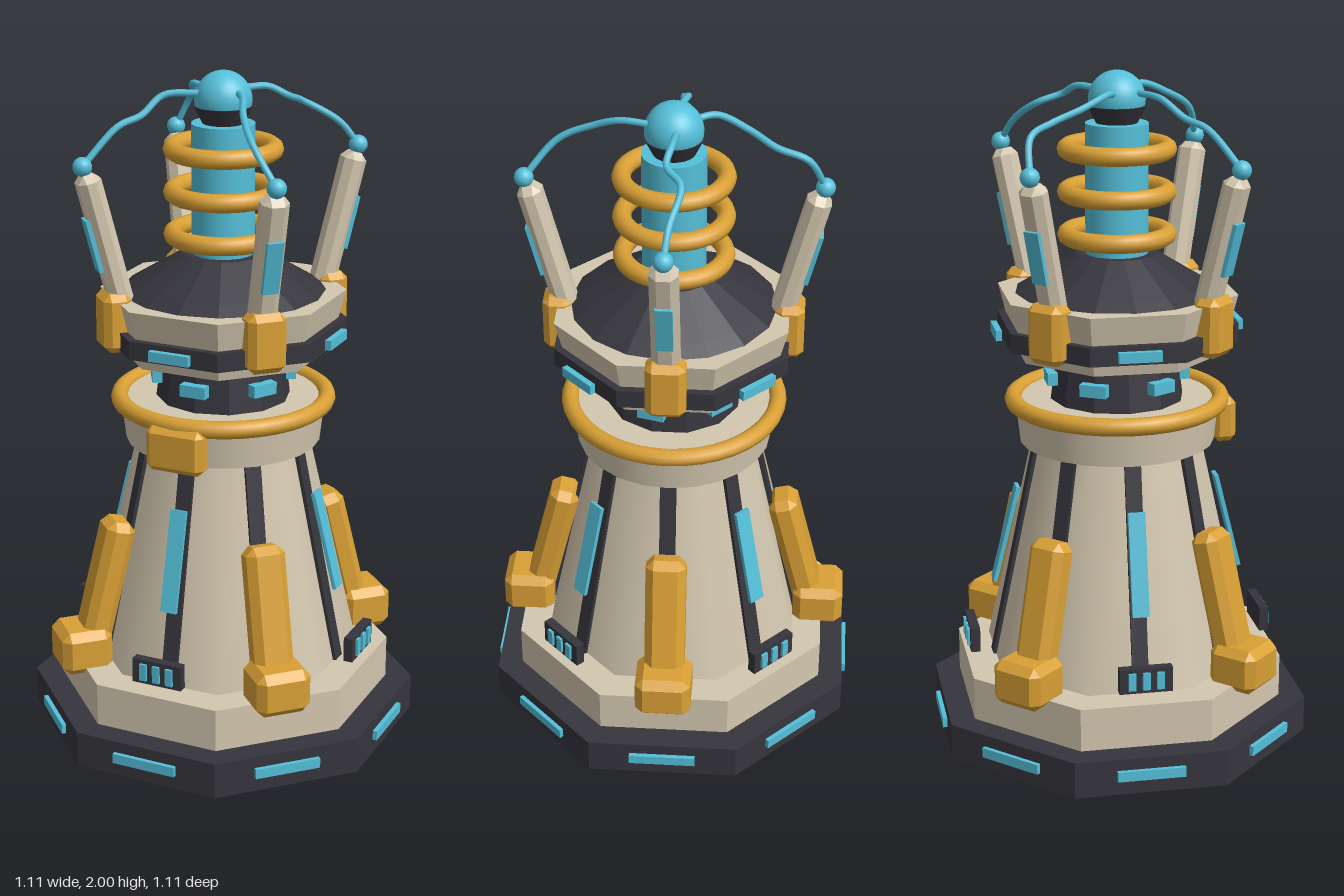
import * as THREE from 'three';
import { ConvexGeometry } from 'three/addons/geometries/ConvexGeometry.js';

const mat = (name, color) => {
  const m = new THREE.MeshStandardMaterial({ color });
  m.name = name;
  return m;
};

export function createModel() {
  const cream = mat('cream', 0xd3c7af);
  const dark = mat('charcoal', 0x36353d);
  const gold = mat('gold', 0xd9a035);
  const blue = mat('blue', 0x54bfd9);
  const root = new THREE.Group();
  root.name = 'coilTower';

  const add = (parent, name, geo, material, x = 0, y = 0, z = 0) => {
    const m = new THREE.Mesh(geo, material);
    m.name = name;
    m.position.set(x, y, z);
    parent.add(m);
    return m;
  };
  const flat = (geo) => {
    const g = geo.toNonIndexed();
    g.computeVertexNormals();
    return g;
  };
  // Eight-sided tier with flats facing the axes; radii are measured to the flats
  const octagon = (rTop, rBottom, y0, y1) => {
    const k = 1 / Math.cos(Math.PI / 8);
    return new THREE.CylinderGeometry(rTop * k, rBottom * k, y1 - y0, 8)
      .rotateY(Math.PI / 8).translate(0, (y0 + y1) / 2, 0);
  };
  const round = (rTop, rBottom, y0, y1, sides = 24) =>
    new THREE.CylinderGeometry(rTop, rBottom, y1 - y0, sides).translate(0, (y0 + y1) / 2, 0);
  const ring = (radius, tube) => new THREE.TorusGeometry(radius, tube, 10, 40).rotateX(Math.PI / 2);
  const box = (w, h, d) => new THREE.BoxGeometry(w, h, d);
  // Box with every edge and corner cut by c
  const chamferBox = (w, h, d, c) => {
    const pts = [];
    for (const sx of [-1, 1]) for (const sy of [-1, 1]) for (const sz of [-1, 1]) {
      const x = w / 2, y = h / 2, z = d / 2;
      pts.push(new THREE.Vector3(sx * x, sy * (y - c), sz * (z - c)),
        new THREE.Vector3(sx * (x - c), sy * y, sz * (z - c)),
        new THREE.Vector3(sx * (x - c), sy * (y - c), sz * z));
    }
    return new ConvexGeometry(pts);
  };
  // Group whose +z points outward at the given angle
  const spoke = (name, angle) => {
    const g = new THREE.Group();
    g.name = name;
    g.rotation.y = angle;
    root.add(g);
    return g;
  };
  // Group leaning along the line (r0,y0)-(r1,y1), centred on it
  const lean = (parent, name, r0, y0, r1, y1) => {
    const g = new THREE.Group();
    g.name = name;
    g.position.set(0, (y0 + y1) / 2, (r0 + r1) / 2);
    g.rotation.x = Math.atan2(r1 - r0, y1 - y0);
    parent.add(g);
    return { g, length: Math.hypot(r1 - r0, y1 - y0) };
  };

  // Base and body
  add(root, 'basePlinth', flat(octagon(0.54, 0.54, 0, 0.11)), dark);
  add(root, 'baseStep', flat(octagon(0.467, 0.467, 0.11, 0.24)), cream);
  add(root, 'taperedBody', octagon(0.235, 0.377, 0.24, 0.92), cream);
  add(root, 'collar', round(0.305, 0.29, 0.905, 1.035, 24), cream);
  add(root, 'collarRing', ring(0.308, 0.026), gold, 0, 1.03, 0);
  add(root, 'frontClasp', chamferBox(0.18, 0.135, 0.07, 0.018), gold, 0, 0.963, 0.312);
  add(root, 'neck', flat(round(0.18, 0.2, 1.03, 1.18, 12)), dark);

  // Head
  add(root, 'head', flat(octagon(0.333, 0.29, 1.18, 1.36)), cream);
  add(root, 'headBand', flat(octagon(0.335, 0.335, 1.22, 1.275)), dark);
  add(root, 'headCapLip', flat(round(0.26, 0.3, 1.36, 1.385, 16)), dark);
  add(root, 'headCap', flat(round(0.12, 0.26, 1.385, 1.47, 16)), dark);

  // Coil column
  add(root, 'column', round(0.092, 0.092, 1.46, 1.85), blue);
  for (const y of [1.525, 1.65, 1.775]) add(root, 'coilRing', ring(0.147, 0.027), gold, 0, y, 0);
  add(root, 'orbCup', round(0.085, 0.058, 1.845, 1.9), dark);
  add(root, 'orb', new THREE.SphereGeometry(0.083, 28, 20), blue, 0, 1.917, 0);

  // Details on all eight sides
  for (let i = 0; i < 8; i++) {
    const side = spoke('side', i * Math.PI / 4);
    add(side, 'baseLight', box(0.2, 0.03, 0.02), blue, 0, 0.06, 0.543);
    const { g, length } = lean(side, 'bodyRib', 0.377, 0.24, 0.24, 0.905);
    add(g, 'ribStrip', box(0.048, length, 0.02), dark);
  }

  // Small lights around the neck
  for (let i = 0; i < 6; i++) {
    const side = spoke('neckSide', i * Math.PI / 3);
    add(side, 'neckLight', box(0.08, 0.036, 0.03), blue, 0, 1.103, 0.198);
  }

  // Details on the four straight sides
  for (let i = 0; i < 4; i++) {
    const side = spoke('straightSide', i * Math.PI / 2);
    add(side, 'ventBox', box(0.156, 0.075, 0.028), dark, 0, 0.312, 0.446);
    for (const x of [-0.042, 0, 0.042]) add(side, 'ventLight', box(0.022, 0.052, 0.014), blue, x, 0.312, 0.461);
    const { g, length } = lean(side, 'bodyLight', 0.377, 0.475, 0.303, 0.77);
    add(g, 'bodyLightBar', box(0.05, length, 0.012), blue);
    add(side, 'headLight', box(0.124, 0.03, 0.018), blue, 0, 1.25, 0.358);
  }

  // Buttresses and pylons on the four diagonals
  for (let i = 0; i < 4; i++) {
    const side = spoke('diagonalSide', Math.PI / 4 + i * Math.PI / 2);
    add(side, 'buttressFoot', chamferBox(0.166, 0.135, 0.155, 0.024), gold, 0, 0.283, 0.455);
    const b = lean(side, 'buttress', 0.425, 0.29, 0.33, 0.675);
    add(b.g, 'buttressBar', chamferBox(0.12, b.length, 0.09, 0.024), gold);
    add(side, 'pylonBracket', chamferBox(0.115, 0.175, 0.085, 0.02), gold, 0, 1.298, 0.335);
    const p = lean(side, 'pylon', 0.305, 1.32, 0.41, 1.735);
    add(p.g, 'pylonShaft', chamferBox(0.08, p.length, 0.07, 0.021), cream);
    add(p.g, 'pylonLight', box(0.048, 0.16, 0.014), blue, 0, 0.008, 0.036);
    add(side, 'pylonTip', new THREE.SphereGeometry(0.028, 16, 12), blue, 0, 1.755, 0.42);
  }

  // Wires from the pylon tips to the orb
  const wires = [
    [[0.297, 1.755, -0.297], [0.25, 1.825, -0.265], [0.155, 1.89, -0.205], [0.145, 1.915, -0.135], [0.095, 1.945, -0.1], [0.045, 1.945, -0.06]],
    [[-0.297, 1.755, -0.297], [-0.24, 1.855, -0.285], [-0.185, 1.885, -0.215], [-0.16, 1.915, -0.13], [-0.115, 1.945, -0.05], [-0.06, 1.94, -0.02]],
    [[-0.297, 1.755, 0.297], [-0.225, 1.86, 0.215], [-0.18, 1.885, 0.16], [-0.14, 1.935, 0.1], [-0.05, 1.94, 0.05]],
    [[0.297, 1.755, 0.297], [0.205, 1.86, 0.255], [0.14, 1.915, 0.17], [0.107, 1.945, 0.1], [0.06, 1.945, 0.03]],
  ];
  for (const pts of wires) {
    const curve = new THREE.CatmullRomCurve3(pts.map((p) => new THREE.Vector3(...p)));
    add(root, 'wire', new THREE.TubeGeometry(curve, 28, 0.01, 8), blue);
  }
  return root;
}
